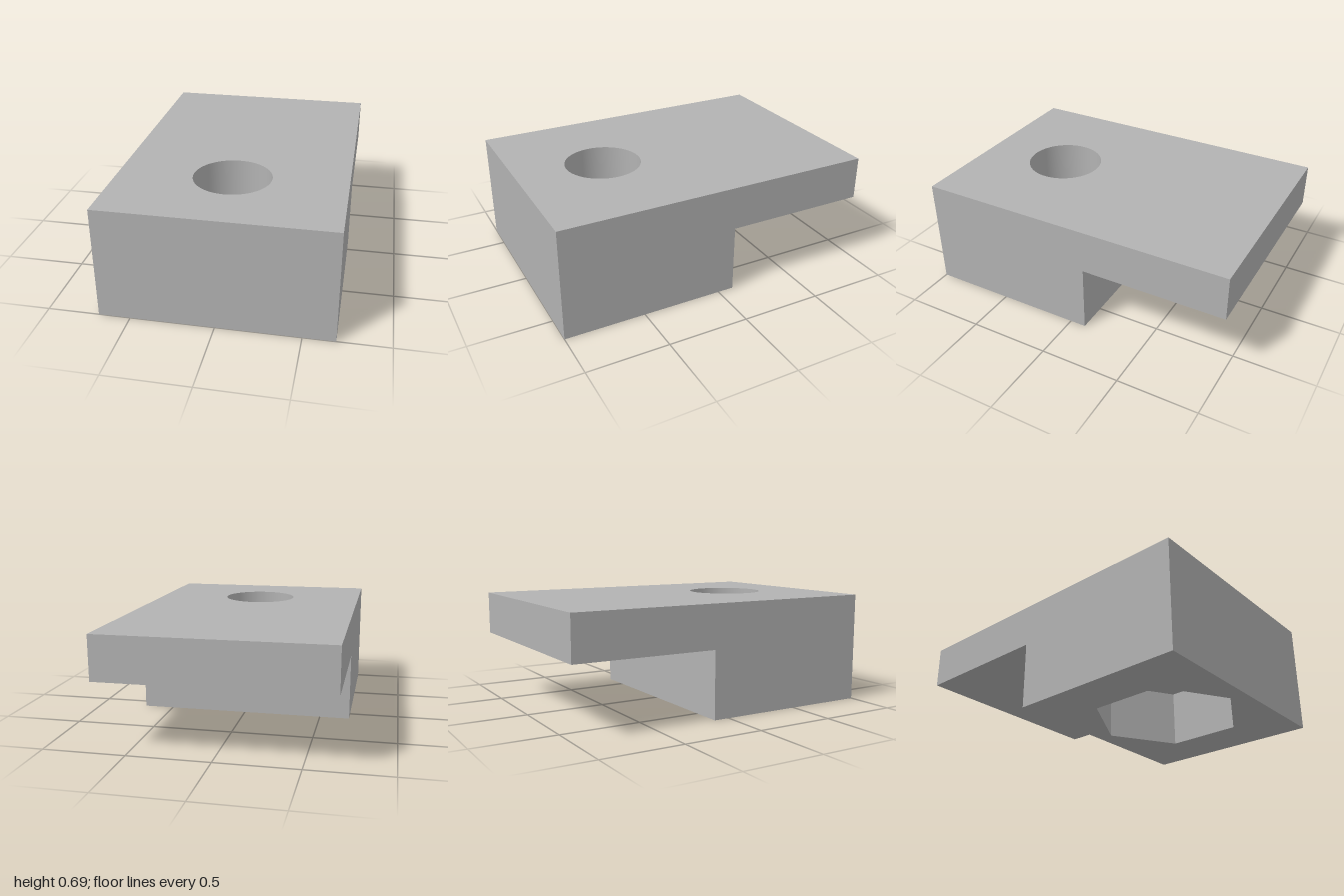
import * as THREE from 'three';
import { mergeGeometries } from 'three/addons/utils/BufferGeometryUtils.js';

const W = 0.69, H = 0.69;             // half width, full height
const STEP_Y = 0.42, STEP_Z = -0.1;   // underside of the lip, back of the block
const HOLE_Z = 0.447, HOLE_R = 0.237, HOLE_SIDES = 64;
const NUT_R = 0.453, NUT_DEPTH = 0.36;

const ring = (r, n, z) => Array.from({ length: n }, (_, i) => {
  const a = (i / n) * Math.PI * 2;
  return new THREE.Vector2(r * Math.sin(a), z + r * Math.cos(a));
});

const rectangle = (z0, z1) => [[-W, z0], [W, z0], [W, z1], [-W, z1]].map(p => new THREE.Vector2(...p));

// Horizontal face with an optional hole; s = 1 faces up, s = -1 faces down
function level(outline, hole, y, s) {
  const flip = pts => pts.map(p => new THREE.Vector2(p.x, -s * p.y));
  const shape = new THREE.Shape(flip(outline));
  if (hole) shape.holes.push(new THREE.Path(flip(hole)));
  return new THREE.ShapeGeometry(shape).rotateX(-s * Math.PI / 2).translate(0, y, 0);
}

// L-shaped side wall, s = 1 on +x, s = -1 on -x
function side(s) {
  const profile = [[1, 0], [1, H], [-1, H], [-1, STEP_Y], [STEP_Z, STEP_Y], [STEP_Z, 0]];
  const shape = new THREE.Shape(profile.map(([z, y]) => new THREE.Vector2(-s * z, y)));
  return new THREE.ShapeGeometry(shape).rotateY(s * Math.PI / 2).translate(s * W, 0, 0);
}

// Upright wall across the width, s = 1 faces front, s = -1 faces back
function wall(y0, y1, z, s) {
  return new THREE.PlaneGeometry(2 * W, y1 - y0)
    .rotateY(s > 0 ? 0 : Math.PI).translate(0, (y0 + y1) / 2, z);
}

// Inward-facing wall of a recess
function bore(r, sides, y0, y1) {
  return new THREE.LatheGeometry([new THREE.Vector2(r, y1), new THREE.Vector2(r, y0)], sides)
    .translate(0, 0, HOLE_Z);
}

export function createModel() {
  const group = new THREE.Group();
  const grey = new THREE.MeshStandardMaterial({ color: 0xb2b2b2 });
  grey.name = 'grey';
  const add = (name, geometry) => {
    const mesh = new THREE.Mesh(geometry, grey);
    mesh.name = name;
    group.add(mesh);
  };

  const circle = ring(HOLE_R, HOLE_SIDES, HOLE_Z);
  const hexagon = ring(NUT_R, 6, HOLE_Z);

  // Block with overhanging lip
  add('steppedBlock', mergeGeometries([
    level(rectangle(-1, 1), circle, H, 1),
    level(rectangle(STEP_Z, 1), hexagon, 0, -1),
    level(rectangle(-1, STEP_Z), null, STEP_Y, -1),
    wall(0, H, 1, 1),
    wall(0, STEP_Y, STEP_Z, -1),
    wall(STEP_Y, H, -1, -1),
    side(1), side(-1),
  ]));

  // Round through hole
  add('boltHole', bore(HOLE_R, HOLE_SIDES, NUT_DEPTH, H));

  // Hexagonal pocket in the underside, with its pierced ceiling
  const pocket = bore(NUT_R, 6, 0, NUT_DEPTH).toNonIndexed();
  pocket.computeVertexNormals();
  add('nutPocketWalls', pocket);
  add('nutPocketCeiling', level(hexagon, circle, NUT_DEPTH, -1));

  return group;
}
